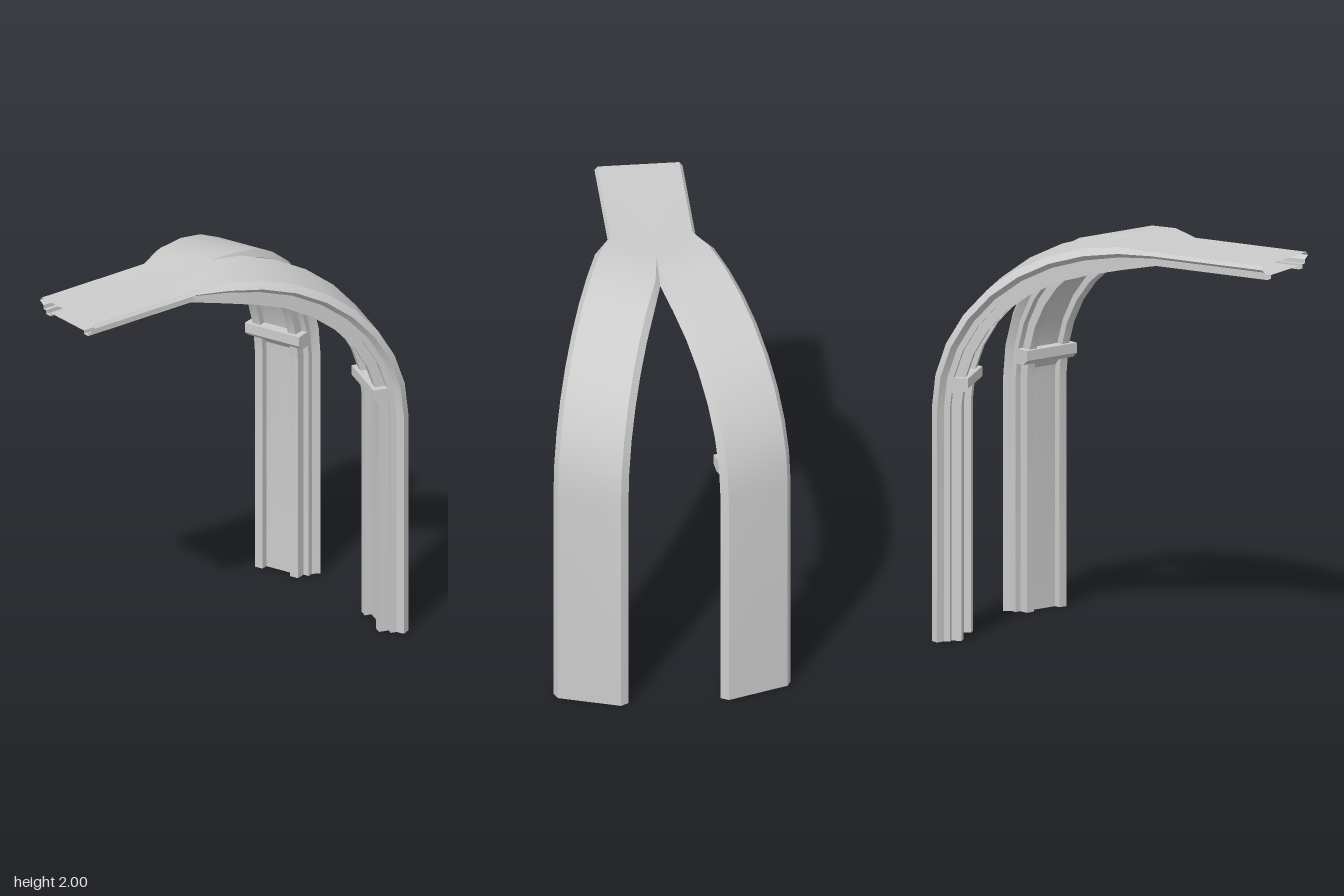
import * as THREE from 'three';
import { toCreasedNormals } from 'three/addons/utils/BufferGeometryUtils.js';

const SIN = 0.32, COS = 0.947; // heading of each leg in plan
const material = new THREE.MeshStandardMaterial({ color: 0xcccccc, side: THREE.DoubleSide });

// u: across the leg, s: distance along its heading, y: height
const place = (u, s, y) =>
  new THREE.Vector3(SIN * s + COS * u, y, 0.385 - COS * s + SIN * u);

// Skin closed rings; side -1 mirrors across x = 0
function loft(name, rings, side, caps) {
  const pos = [];
  const tri = (a, b, c) => {
    const area = b.clone().sub(a).cross(c.clone().sub(a)).length();
    const onSeam = [a, b, c].every(p => p.x < 1e-4);
    if (area < 1e-8 || onSeam) return;
    for (const p of side > 0 ? [a, b, c] : [a, c, b]) pos.push(p.x * side, p.y, p.z);
  };
  const n = rings[0].length;
  for (let i = 0; i + 1 < rings.length; i++) {
    for (let j = 0; j < n; j++) {
      const k = (j + 1) % n, A = rings[i], B = rings[i + 1];
      tri(A[j], B[k], A[k]);
      tri(A[j], B[j], B[k]);
    }
  }
  if (caps) {
    const first = rings[0], last = rings[rings.length - 1];
    for (let j = 1; j + 1 < n; j++) {
      tri(first[0], first[j], first[j + 1]);
      tri(last[0], last[j + 1], last[j]);
    }
  }
  const geo = new THREE.BufferGeometry();
  geo.setAttribute('position', new THREE.Float32BufferAttribute(pos, 3));
  const mesh = new THREE.Mesh(toCreasedNormals(geo, 0.45), material);
  mesh.name = name;
  return mesh;
}

// Half sections [across, depth]: bevelled slab, ledge, rail, recessed panel
const legHalf = [[0.157, 0], [0.187, 0.033], [0.155, 0.06], [0.155, 0.09],
  [0.125, 0.09], [0.125, 0.14], [0.08, 0.14], [0.08, 0.105]];
const trunkHalf = [[0.2, 0], [0.215, 0.018], [0.185, 0.035], [0.185, 0.055],
  [0.165, 0.055], [0.165, 0.075], [0.13, 0.075], [0.13, 0.057]];
const legProfile = [...legHalf, ...legHalf.map(([u, t]) => [-u, t]).reverse()];
// On the trunk the inner half collapses onto the centre seam
const trunkProfile = [...trunkHalf,
  ...trunkHalf.map(([, t], i) => [0, i === 0 ? 0 : Math.min(t, 0.057)]).reverse()];

function legSection(s, y, ns, ny, depth) {
  return legProfile.map(([u, t]) => {
    const p = place(u, s - ns * t * depth, y - ny * t * depth);
    p.x = Math.max(p.x, 0); // legs meet at the centre seam
    return p;
  });
}

function archBranch(side) {
  const rings = [legSection(1.288, 0, 1, 0, 1)];
  // Quarter ellipse from the upright to the crown
  const steps = 8, a = 0.935, b = 0.84;
  for (let i = 0; i <= steps; i++) {
    const q = (i / steps) * Math.PI / 2, c = Math.cos(q), d = Math.sin(q);
    const len = Math.hypot(c / a, d / b);
    const depth = i === steps ? 0.87 : 1;
    rings.push(legSection(0.353 + a * c, 1.16 + b * d, c / a / len, d / b / len, depth));
  }
  // Straight trunk
  for (const z of [0.25, 0.885])
    rings.push(trunkProfile.map(([x, t]) => new THREE.Vector3(x, 1.98 - t, z)));
  return loft('archBranch', rings, side, false);
}

// Bar across the leg from a [depth, height] profile
function crossBar(name, halfWidth, profile, side) {
  const rings = [-halfWidth, halfWidth].map(u =>
    profile.map(([t, y]) => place(u, 1.288 - t, y)));
  return loft(name, rings, side, true);
}

export function createModel() {
  const model = new THREE.Group();
  model.name = 'forkedArch';
  for (const side of [1, -1]) {
    const half = new THREE.Group();
    half.name = side > 0 ? 'leftBranch' : 'rightBranch';
    half.add(
      archBranch(side),
      crossBar('capital', 0.157,
        [[0.085, 1.235], [0.15, 1.235], [0.18, 1.26], [0.18, 1.31], [0.085, 1.31]], side),
      // Sloped head closing the recessed panel
      crossBar('panelHead', 0.09, [[0.1, 1.195], [0.107, 1.2], [0.143, 1.24], [0.1, 1.24]], side),
    );
    model.add(half);
  }
  return model;
}
